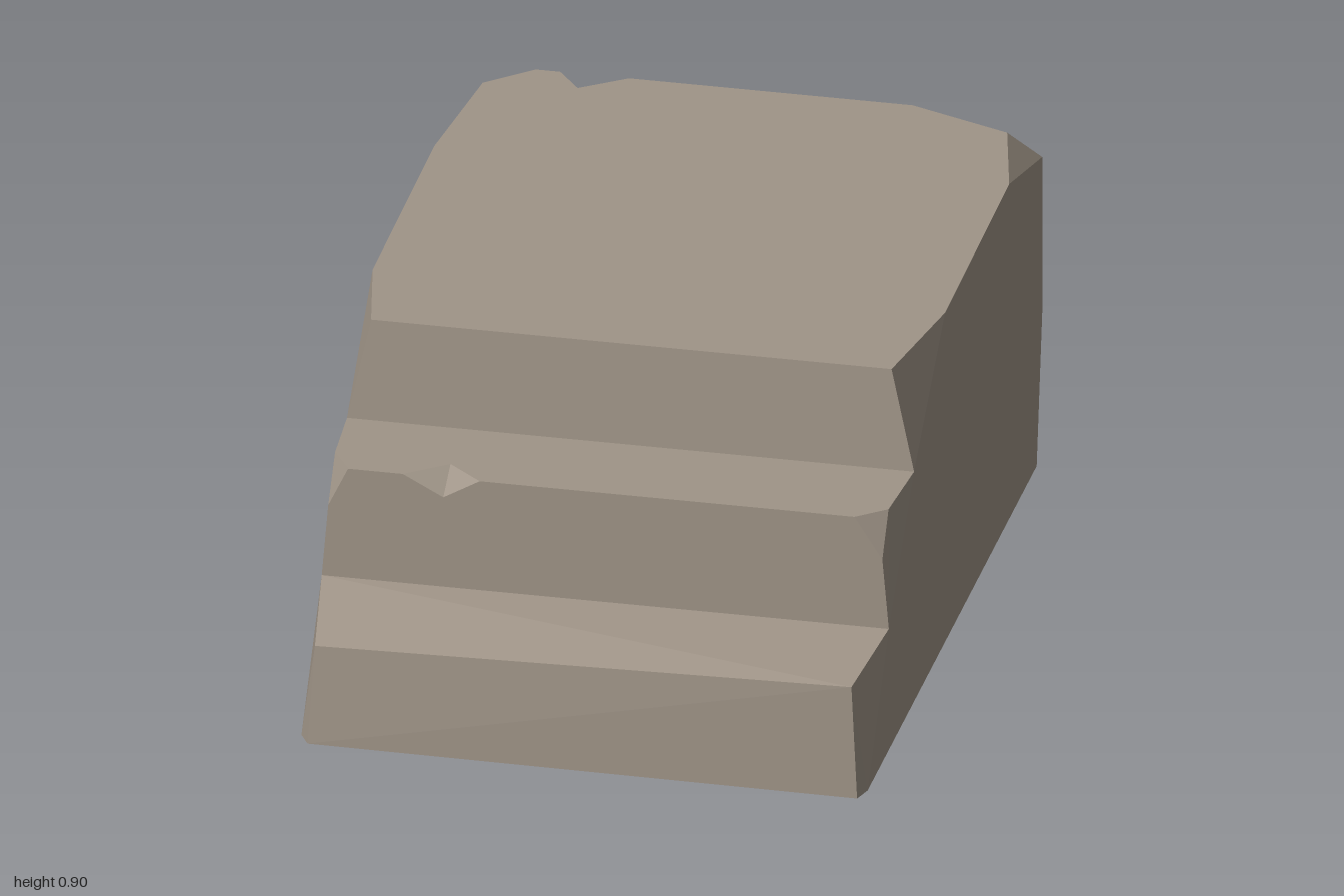
import * as THREE from 'three';
import { ConvexGeometry } from 'three/addons/geometries/ConvexGeometry.js';

export function createModel() {
  const model = new THREE.Group();
  model.name = 'stoneSteps';
  const stone = new THREE.MeshStandardMaterial({ color: 0x9f9487 });
  stone.name = 'stone';

  // One convex, flat-faced chunk of stone from its corner points
  function chunk(name, corners) {
    const geometry = new ConvexGeometry(corners.map((c) => new THREE.Vector3(...c)));
    const mesh = new THREE.Mesh(geometry, stone);
    mesh.name = name;
    model.add(mesh);
  }

  // Lowest step, with a worn, sloping tread and bevelled ends
  const z1 = 0.715;
  chunk('lowerStep', [
    [-0.675, 0, 0.985], [0.685, 0, 1], [-0.66, 0.255, 0.97], [0.67, 0.293, 0.995],
    [-0.7, 0, 0.94], [0.7, 0, 0.95], [-0.7, 0.322, z1], [0.7, 0.322, z1],
    [-0.7, 0, z1], [0.7, 0, z1],
  ]);

  // Middle step: two chunks meeting at the chip in its front edge
  const z2 = 0.435, y2 = 0.612;
  const middleChip = [
    [-0.4, y2, 0.635], [-0.4, 0.56, z1], [-0.4, 0, z1], [-0.4, y2, z2], [-0.4, 0, z2],
  ];
  const middleEnd = (x) => [[x, 0, z2], [x, y2, z2], [x, 0.322, z1], [x, 0, z1]];
  chunk('middleStepRight', [
    ...middleChip, ...middleEnd(-0.7),
    [-0.5, y2, z1], [-0.635, y2, z1], [-0.684, 0.51, z1], [-0.686, y2, 0.63],
  ]);
  chunk('middleStepLeft', [
    ...middleChip, ...middleEnd(0.7),
    [-0.31, y2, z1], [0.615, y2, z1], [0.684, 0.505, z1], [0.686, y2, 0.655],
  ]);

  // Upper block: gently rising top, two chunks meeting at the chip in its back edge
  const back = -0.987;
  const onTop = (x, z) => [x, 0.87 + (0.03 * (0.415 - z)) / 1.4, z];
  const upperChip = [
    onTop(-0.43, 0.415), [-0.43, y2, z2], [-0.43, 0, z2],
    onTop(-0.43, -0.91), [-0.43, 0.845, back], [-0.43, 0, -1],
  ];
  chunk('upperBlockRight', [
    ...upperChip,
    [-0.7, 0, z2], [-0.7, y2, z2], onTop(-0.645, 0.415), onTop(-0.7, 0.15),
    onTop(-0.7, -0.53), onTop(-0.66, -0.89), onTop(-0.55, back), onTop(-0.49, back),
    [-0.7, 0.79, back], [-0.7, 0, -1],
  ]);
  chunk('upperBlockLeft', [
    ...upperChip,
    [0.7, 0, z2], [0.7, y2, z2], onTop(0.64, 0.415), onTop(0.7, 0.09),
    onTop(0.7, -0.62), onTop(0.635, -0.89), onTop(0.38, back), onTop(-0.32, back),
    [0.7, 0.795, back], [0.7, 0.4, -0.99], [0.7, 0, -0.925], [0.67, 0, -1],
  ]);

  return model;
}
